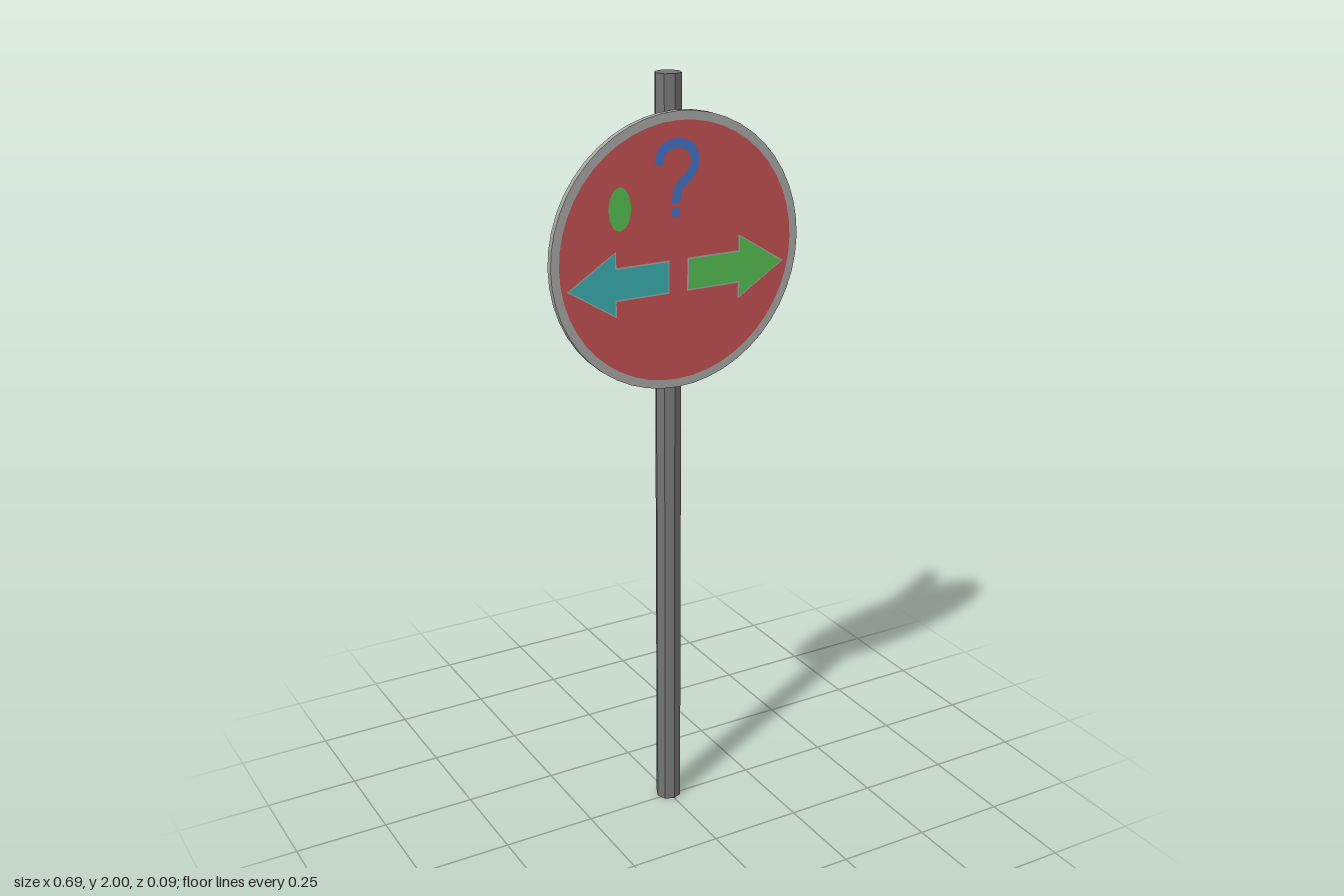
import * as THREE from 'three';

const mat = (name, color, flatShading = false) => {
  const m = new THREE.MeshStandardMaterial({ color });
  m.name = name;
  m.flatShading = flatShading;
  return m;
};

export function createModel() {
  const poleGrey = mat('pole grey', 0x747474, true);
  const plateGrey = mat('plate grey', 0xa6a6a4);
  const red = mat('sign red', 0xc45050);
  const green = mat('sign green', 0x55be50);
  const teal = mat('sign teal', 0x3aacb0);
  const blue = mat('sign blue', 0x4472c4);

  const model = new THREE.Group();
  const add = (name, geometry, material, x = 0, y = 0, z = 0) => {
    const mesh = new THREE.Mesh(geometry, material);
    mesh.name = name;
    mesh.position.set(x, y, z);
    model.add(mesh);
    return mesh;
  };
  const polygon = (pts) => new THREE.ShapeGeometry(
    new THREE.Shape(pts.map(([x, y]) => new THREE.Vector2(x, y))));

  // Octagonal pole
  add('pole', new THREE.CylinderGeometry(0.034, 0.034, 2, 8), poleGrey, 0, 1, -0.01);

  // Round plate; its grey front shows as a rim around the red face
  const cy = 1.57;
  const disc = new THREE.CylinderGeometry(0.346, 0.346, 0.016, 48).rotateX(Math.PI / 2);
  add('signPlate', disc, plateGrey, 0, cy, 0.032);
  add('redFace', new THREE.CircleGeometry(0.324, 48), red, 0, cy, 0.0407);

  // Arrows with a thin pale border, drawn pointing to +x about their own centre
  const arrow = (b) => polygon([
    [-0.135 - b, -0.038 - b], [0.012 - b, -0.038 - b], [0.012 - b, -0.077 - b * 1.5],
    [0.135 + b * 1.5, 0], [0.012 - b, 0.077 + b * 1.5], [0.012 - b, 0.038 + b],
    [-0.135 - b, 0.038 + b],
  ]);
  for (const [side, name, material] of [[1, 'leftArrow', green], [-1, 'rightArrow', teal]]) {
    for (const [suffix, border, m, z] of [['Border', 0.004, plateGrey, 0.0413], ['', 0, material, 0.042]]) {
      const geometry = arrow(border);
      if (side < 0) geometry.rotateZ(Math.PI);
      add(name + suffix, geometry, m, side * 0.164, 1.513, z);
    }
  }

  // Upright green oval
  add('greenOval', new THREE.CircleGeometry(1, 12).scale(0.031, 0.054, 1), green, -0.161, 1.697, 0.042);

  // Question mark: a ribbon of constant width along a curve, plus a dot
  const path = new THREE.CatmullRomCurve3([
    [-0.056, 1.792], [-0.044, 1.826], [-0.008, 1.84], [0.034, 1.826], [0.046, 1.79],
    [0.028, 1.757], [0, 1.733], [-0.008, 1.695],
  ].map(([x, y]) => new THREE.Vector3(x, y, 0)));
  const outer = [], inner = [];
  for (let i = 0; i <= 28; i++) {
    const p = path.getPoint(i / 28), t = path.getTangent(i / 28);
    outer.push([p.x - t.y * 0.012, p.y + t.x * 0.012]);
    inner.unshift([p.x + t.y * 0.012, p.y - t.x * 0.012]);
  }
  add('questionHook', polygon([...outer, ...inner]), blue, 0, 0, 0.042);
  add('questionDot', new THREE.CircleGeometry(0.013, 10), blue, -0.008, 1.672, 0.042);

  return model;
}
